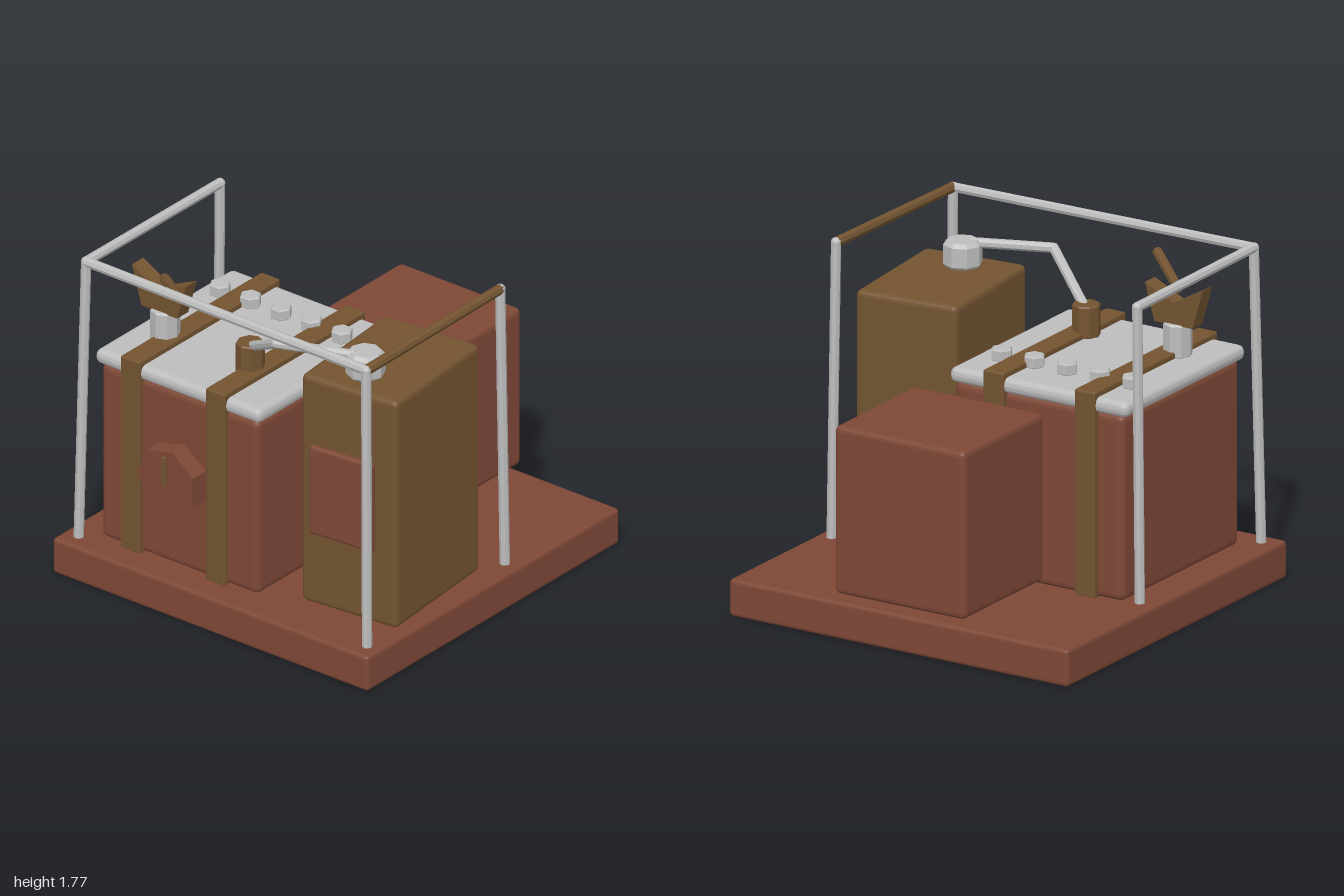
import * as THREE from 'three';
import { RoundedBoxGeometry } from 'three/addons/geometries/RoundedBoxGeometry.js';

export function createModel() {
  const model = new THREE.Group();
  model.name = 'machine';
  const material = (name, color, flatShading = false) => {
    const m = new THREE.MeshStandardMaterial({ color, side: THREE.FrontSide });
    m.name = name;
    m.flatShading = flatShading;
    return m;
  };
  const red = material('rust red', 0x7e4837, true);
  const brown = material('bronze brown', 0x735431, true);
  const steel = material('light steel', 0xbdbdbd, true);

  const add = (name, geometry, mat, x = 0, y = 0, z = 0) => {
    const mesh = new THREE.Mesh(geometry, mat);
    mesh.name = name;
    mesh.position.set(x, y, z);
    model.add(mesh);
    return mesh;
  };
  // Bevelled box given by its lower and upper corners
  const box = (name, mat, a, b, bevel) => add(name,
    new RoundedBoxGeometry(b[0] - a[0], b[1] - a[1], b[2] - a[2], 2, bevel), mat,
    (a[0] + b[0]) / 2, (a[1] + b[1]) / 2, (a[2] + b[2]) / 2);
  // Straight rod between two points
  const rod = (name, mat, from, to, radius = 0.026) => {
    const a = new THREE.Vector3(...from), b = new THREE.Vector3(...to);
    const dir = b.clone().sub(a);
    const mesh = add(name, new THREE.CylinderGeometry(radius, radius, dir.length(), 8), mat);
    mesh.position.copy(a).add(b).multiplyScalar(0.5);
    mesh.quaternion.setFromUnitVectors(new THREE.Vector3(0, 1, 0), dir.normalize());
    return mesh;
  };
  // Upright drum with a chamfered rim
  const drum = (name, mat, x, z, radius, y0, y1, sides, chamfer) => {
    const h = y1 - y0;
    const profile = [[0, 0], [radius - chamfer, 0], [radius, chamfer],
      [radius, h - chamfer], [radius - chamfer, h], [0, h]];
    return add(name, new THREE.LatheGeometry(
      profile.map(p => new THREE.Vector2(...p)), sides), mat, x, y0, z);
  };

  // Base, tank, lid and rear box
  box('base', red, [-1, 0, -1], [1, 0.195, 1], 0.02);
  box('tank', red, [-0.83, 0.19, -0.23], [0.17, 1.165, 0.83], 0.035);
  box('tankLid', steel, [-0.86, 1.16, -0.25], [0.19, 1.24, 0.845], 0.035);
  box('rearBox', red, [-0.39, 0.235, -1], [0.38, 1.115, -0.27], 0.03);

  // Straps and bolts over the lid
  for (const x of [-0.62, -0.08]) {
    box('strap', brown, [x - 0.06, 0.19, -0.26], [x + 0.06, 1.27, 0.86], 0.01);
  }
  for (let i = 0; i < 5; i++) {
    const bolt = drum('lidBolt', steel, -0.735 + i * 0.193, 0, 0.056, 1.235, 1.3, 6, 0.008);
    bolt.rotation.y = Math.PI / 2;
  }

  // Seven-sided dial with its needle
  const dial = add('dial', new THREE.CylinderGeometry(0.185, 0.19, 0.1, 7), red, -0.333, 0.7, 0.877);
  dial.rotation.set(Math.PI / 2, -Math.PI / 2, 0, 'XYZ');
  box('dialNeedle', brown, [-0.346, 0.7, 0.942], [-0.316, 0.855, 0.957], 0.004);

  // Turned cabinet and its front panel
  const turn = 0.09;
  const cabinet = box('cabinet', brown, [0.325, 0.19, -0.045], [0.895, 1.465, 0.705], 0.03);
  cabinet.rotation.y = turn;
  const panel = box('cabinetPanel', red, [0.45, 0.62, 0.73], [0.83, 1.115, 0.77], 0.018);
  panel.rotation.y = turn;

  // Notched valve head on a short post, with a lever
  drum('valvePost', steel, -0.655, 0.535, 0.075, 1.235, 1.41, 8, 0.008);
  const notch = new THREE.Shape([[-0.83, 1.615], [-0.77, 1.405], [-0.545, 1.405],
    [-0.49, 1.6], [-0.66, 1.52]].map(p => new THREE.Vector2(...p)));
  add('valveHead', new THREE.ExtrudeGeometry(notch, { depth: 0.09, bevelEnabled: false }),
    brown, 0, 0, 0.49);
  rod('valveLever', brown, [-0.655, 1.58, 0.54], [-0.385, 1.66, 0.765]);

  // Bent pipe from the outlet to the cabinet cap
  drum('pipeOutlet', brown, -0.115, 0.535, 0.073, 1.235, 1.405, 8, 0.008);
  drum('cabinetCap', steel, 0.615, 0.535, 0.1, 1.46, 1.6, 8, 0.02);
  const elbow = [0.2, 1.58, 0.725];
  rod('risingPipe', steel, [-0.115, 1.375, 0.53], elbow);
  rod('levelPipe', steel, elbow, [0.585, 1.58, 0.575]);
  add('pipeElbow', new THREE.IcosahedronGeometry(0.026, 1), steel, ...elbow);

  // Frame: four leaning posts and three top rails
  const posts = {
    leftFront: [[0.922, 0.19, 0.905], [0.893, 1.725, 0.875]],
    rightFront: [[-0.907, 0.19, 0.905], [-0.88, 1.74, 0.88]],
    leftRear: [[0.915, 0.19, -0.195], [0.898, 1.74, -0.18]],
    rightRear: [[-0.905, 0.19, -0.195], [-0.88, 1.735, -0.18]],
  };
  for (const [name, [foot, top]] of Object.entries(posts)) {
    rod(name + 'Post', steel, foot, top);
    add(name + 'Joint', new THREE.IcosahedronGeometry(0.027, 1), steel, ...top);
  }
  rod('frontRail', steel, posts.rightFront[1], posts.leftFront[1]);
  rod('rightRail', steel, posts.rightFront[1], posts.rightRear[1]);
  rod('leftRail', brown, posts.leftFront[1], posts.leftRear[1], 0.027);

  return model;
}
